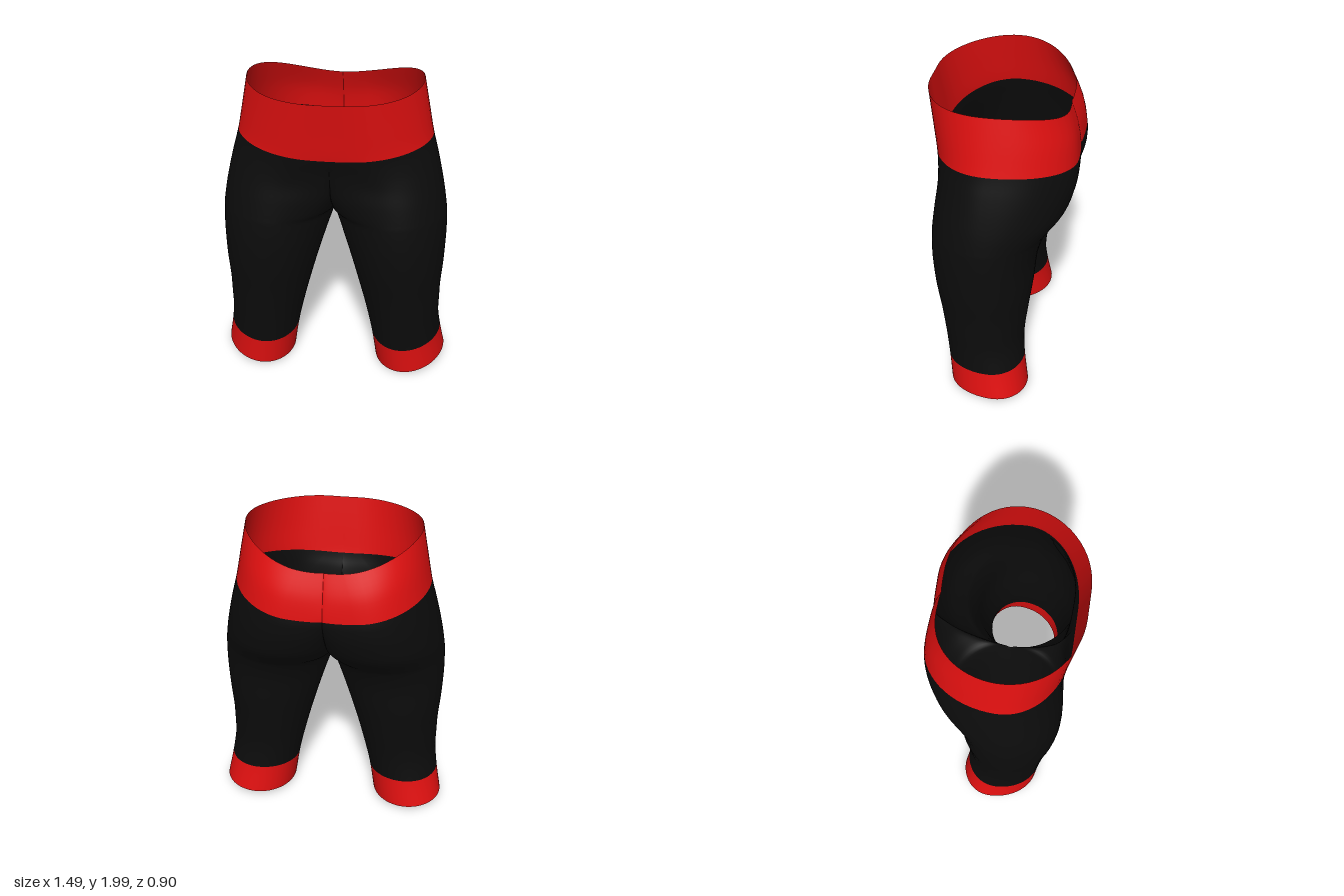
import * as THREE from 'three';
import { mergeVertices } from 'three/addons/utils/BufferGeometryUtils.js';

// One cross-section of the left half per row:
// yFront, ySide, yBack, xInner, xOuter, xFrontPeak, xBackPeak, zFront, zBack, zInnerFront, zInnerBack, zOuter
const LEG = [
  [0.00, 0.055, 0.03, 0.28, 0.745, 0.49, 0.53, 0.29, -0.22, 0.05, 0.05, -0.02], // cuff hem
  [0.19, 0.235, 0.235, 0.25, 0.71, 0.47, 0.49, 0.305, -0.19, 0.05, 0.05, 0.02], // cuff top
  [0.40, 0.40, 0.40, 0.21, 0.69, 0.45, 0.45, 0.325, -0.18, 0.05, 0.05, 0.06],
  [0.60, 0.60, 0.60, 0.16, 0.69, 0.43, 0.42, 0.352, -0.20, 0.05, 0.05, 0.07],
  [0.80, 0.80, 0.80, 0.105, 0.702, 0.41, 0.40, 0.385, -0.225, 0.04, 0.04, 0.07],
  [1.00, 1.00, 1.00, 0.045, 0.707, 0.39, 0.36, 0.402, -0.243, 0.03, 0.03, 0.06],
  [1.14, 1.14, 1.14, 0, 0.702, 0.37, 0.33, 0.40, -0.285, 0.02, 0.02, 0.06],    // crotch
];
const HIPS = [
  [1.20, 1.20, 1.20, 0, 0.695, 0.36, 0.31, 0.395, -0.325, 0.17, -0.12, 0.06],
  [1.30, 1.30, 1.30, 0, 0.678, 0.33, 0.27, 0.385, -0.40, 0.29, -0.27, 0.06],
  [1.42, 1.42, 1.42, 0, 0.652, 0.28, 0.23, 0.373, -0.44, 0.345, -0.37, 0.05],
  [1.51, 1.53, 1.51, 0, 0.625, 0.20, 0.21, 0.38, -0.452, 0.37, -0.42, 0.04],
  [1.605, 1.655, 1.58, 0, 0.592, 0.12, 0.20, 0.40, -0.448, 0.40, -0.435, 0.03], // waistband seam
  [1.78, 1.83, 1.72, 0, 0.557, 0.10, 0.17, 0.424, -0.425, 0.424, -0.412, 0.03],
  [1.97, 1.995, 1.86, 0, 0.525, 0.08, 0.12, 0.45, -0.375, 0.45, -0.368, 0.03],  // waist rim
];
const ROWS = [...LEG, ...HIPS];
const CUFF_ROW = 1, BAND_ROW = 11, STEPS = 5, AROUND = 64;

// Smooth interpolation between rows, held within the two neighbours
function sampleRow(s) {
  const i = Math.min(Math.floor(s), ROWS.length - 2), t = s - i;
  const at = k => ROWS[THREE.MathUtils.clamp(k, 0, ROWS.length - 1)];
  return ROWS[i].map((b, c) => {
    const a = at(i - 1)[c], d = at(i + 1)[c], e = at(i + 2)[c];
    const v = b + 0.5 * t * (d - a + t * (2 * a - 5 * b + 4 * d - e + t * (3 * (b - d) + e - a)));
    return THREE.MathUtils.clamp(v, Math.min(b, d), Math.max(b, d));
  });
}

// Four quarter ellipses running inner front -> outer side -> inner back
function sectionPoint(row, u) {
  const [yF, yS, yB, xIn, xOut, xcF, xcB, zF, zB, zcF, zcB, zm] = row;
  const angle = Math.PI * (1 - 2 * u);
  const front = u <= 0.5, c = Math.cos(angle), s = Math.abs(Math.sin(angle));
  const xc = front ? xcF : xcB, zPeak = front ? zF : zB;
  const x = c < 0 ? xc + (xc - xIn) * c : xc + (xOut - xc) * c;
  const zBase = c < 0 ? (front ? zcF : zcB) : zm;
  const z = zBase + (zPeak - zBase) * s;
  const yMid = THREE.MathUtils.lerp(yB, yF, (z - zB) / (zF - zB));
  const w = (x - xIn) / (xOut - xIn);
  return [x, THREE.MathUtils.lerp(yMid, yS, w * w), z];
}

export function createModel() {
  const red = new THREE.MeshStandardMaterial({ color: 0xdf1010, side: THREE.DoubleSide });
  red.name = 'red trim';
  const black = new THREE.MeshStandardMaterial({ color: 0x0c0c0c, side: THREE.DoubleSide });
  black.name = 'black fabric';

  // Both mirrored halves as one welded surface, so that normals run across the seams
  const positions = [], faces = { cuffLeft: [], cuffRight: [], legsAndHips: [], waistband: [] };
  const levels = (ROWS.length - 1) * STEPS;
  for (const side of [1, -1]) {
    const base = positions.length / 3;
    for (let j = 0; j <= levels; j++) {
      const row = sampleRow(j / STEPS);
      for (let i = 0; i <= AROUND; i++) {
        const [x, y, z] = sectionPoint(row, i / AROUND);
        positions.push(side * x, y, z);
      }
    }
    for (let j = 0; j < levels; j++) {
      const part = j < CUFF_ROW * STEPS ? (side > 0 ? 'cuffLeft' : 'cuffRight')
        : j < BAND_ROW * STEPS ? 'legsAndHips' : 'waistband';
      for (let i = 0; i < AROUND; i++) {
        const a = base + j * (AROUND + 1) + i, b = a + 1, c = a + AROUND + 1, d = c + 1;
        faces[part].push(...(side > 0 ? [a, b, d, a, d, c] : [a, d, b, a, c, d]));
      }
    }
  }
  let whole = new THREE.BufferGeometry();
  whole.setAttribute('position', new THREE.Float32BufferAttribute(positions, 3));
  whole.setIndex(Object.values(faces).flat());
  whole = mergeVertices(whole, 1e-5);
  whole.computeVertexNormals();

  // Cut the welded surface into its coloured parts
  const model = new THREE.Group();
  model.name = 'croppedLeggings';
  let start = 0;
  for (const [name, list] of Object.entries(faces)) {
    const geometry = new THREE.BufferGeometry();
    geometry.setAttribute('position', whole.attributes.position);
    geometry.setAttribute('normal', whole.attributes.normal);
    geometry.setIndex(Array.from(whole.index.array.slice(start, start + list.length)));
    start += list.length;
    const mesh = new THREE.Mesh(geometry, name === 'legsAndHips' ? black : red);
    mesh.name = name;
    model.add(mesh);
  }
  return model;
}
